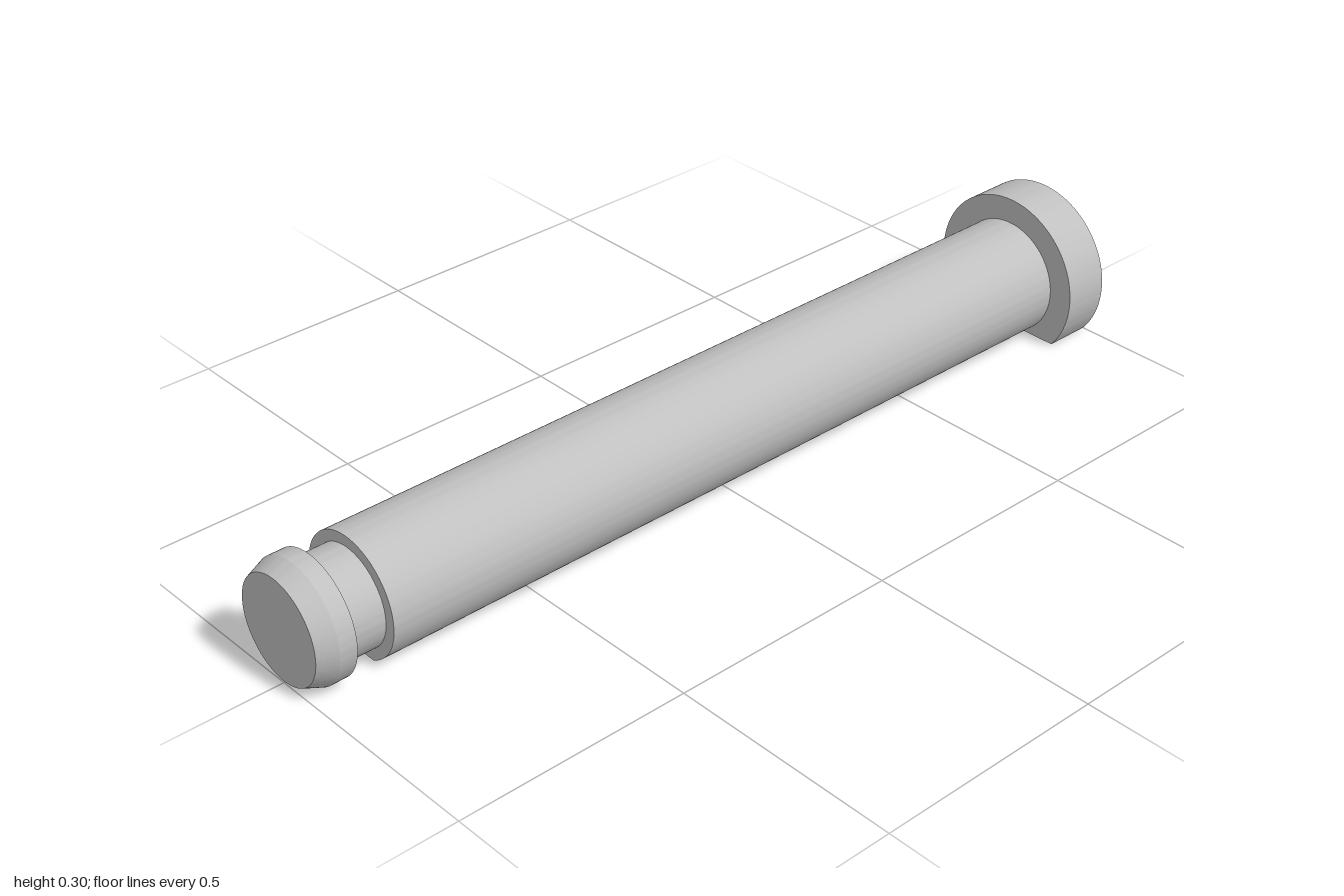
import * as THREE from 'three';
import { toCreasedNormals } from 'three/addons/utils/BufferGeometryUtils.js';

const AXIS = 0.1145; // height of the pin's axis above the flat underside
const N = 96;

// Round section of radius r, cut off flat at y = 0 where it would go below
function ring(x, r) {
  const end = r > AXIS ? Math.PI - Math.acos(AXIS / r) : Math.PI;
  const pts = [];
  for (let i = 0; i <= N; i++) {
    const t = -end + (2 * end * i) / N;
    pts.push([x, AXIS + r * Math.cos(t), r * Math.sin(t)]);
  }
  return pts;
}

// Skin a run of [x, radius] stations and close the chosen ends
function turned(stations, capStart, capEnd) {
  const rings = stations.map(([x, r]) => ring(x, r));
  const pos = [];
  const tri = (a, b, c) => pos.push(...a, ...b, ...c);
  for (let k = 0; k < rings.length - 1; k++) {
    const p = rings[k], q = rings[k + 1];
    const cut = Math.max(stations[k][1], stations[k + 1][1]) > AXIS;
    for (let i = 0; i < (cut ? N + 1 : N); i++) {
      const j = (i + 1) % (N + 1);
      tri(p[i], p[j], q[j]);
      tri(p[i], q[j], q[i]);
    }
  }
  const cap = (pts, flip) => {
    const c = [pts[0][0], AXIS, 0];
    for (let i = 0; i <= N; i++) {
      const a = pts[i], b = pts[(i + 1) % (N + 1)];
      if (flip) tri(c, b, a); else tri(c, a, b);
    }
  };
  if (capStart) cap(rings[0], true);
  if (capEnd) cap(rings[rings.length - 1], false);
  const geo = new THREE.BufferGeometry();
  geo.setAttribute('position', new THREE.Float32BufferAttribute(pos, 3));
  return toCreasedNormals(geo, 0.3);
}

export function createModel() {
  const group = new THREE.Group();
  group.name = 'pin';
  const steel = new THREE.MeshStandardMaterial({ color: 0xc0c0c0 });
  steel.name = 'grey steel';
  const add = (name, stations, capStart = true, capEnd = true) => {
    const mesh = new THREE.Mesh(turned(stations, capStart, capEnd), steel);
    mesh.name = name;
    group.add(mesh);
  };

  const R = 0.127, tipR = 0.111;

  // Chamfered tip: extra stations follow the curve where the cone meets the flat
  const tip = [[-1, tipR]];
  for (let i = 0; i <= 10; i++) {
    const r = AXIS + (R - AXIS) * (i / 10) ** 2;
    tip.push([-1 + (0.04 * (r - tipR)) / (R - tipR), r]);
  }
  tip.push([-0.923, R]);
  add('tip', tip);

  // Retaining groove, shaft and head
  add('grooveNeck', [[-0.923, 0.104], [-0.845, 0.104]], false, false);
  add('shaft', [[-0.845, R], [0.895, R]], true, false);
  add('head', [[0.895, 0.1815], [1, 0.1815]]);
  return group;
}
